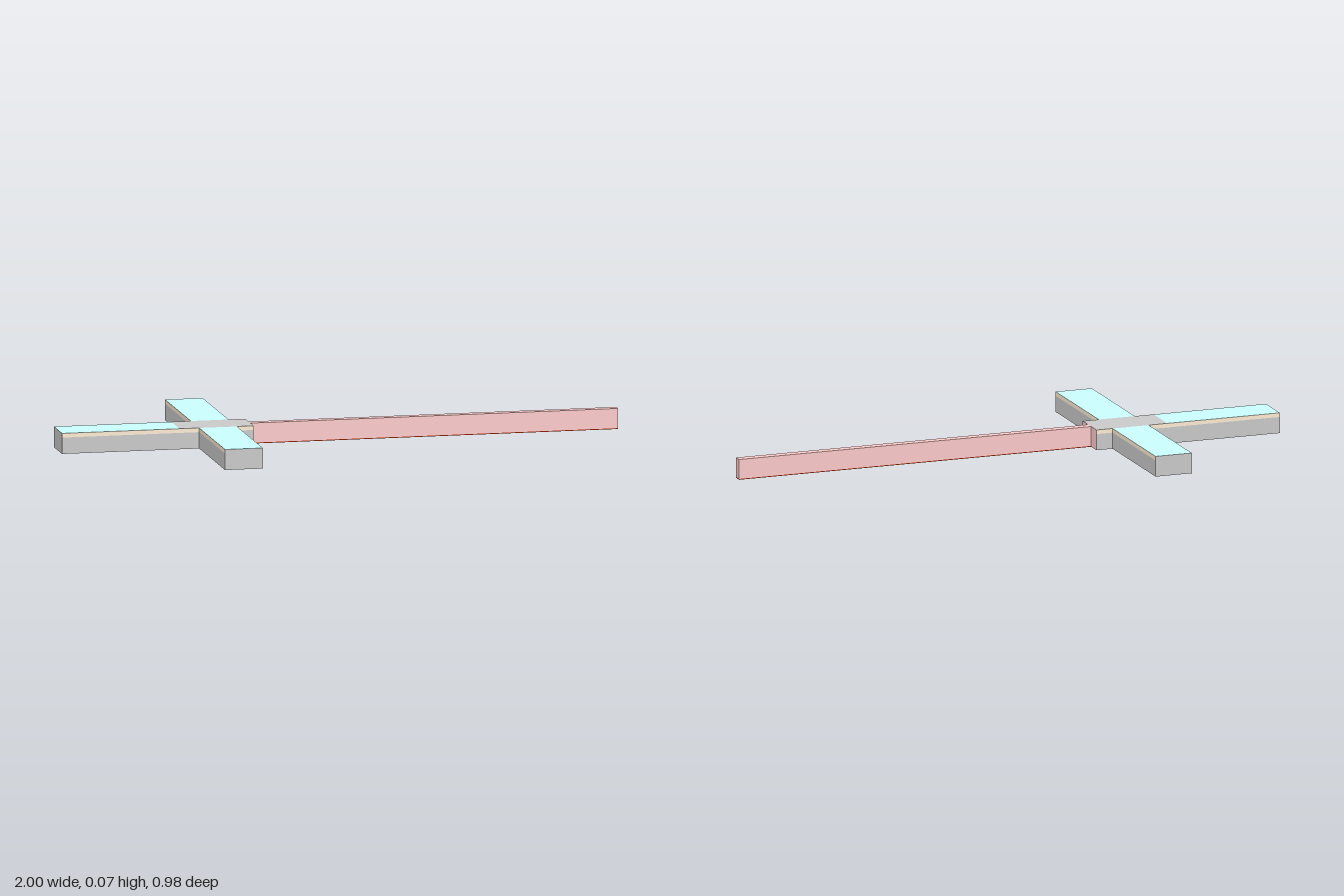
import * as THREE from 'three';

const mat = (color) => new THREE.MeshStandardMaterial({ color });
const grey = mat(0xcccccc), teal = mat(0xccffff), pink = mat(0xffcccc);
const tan = mat(0xffeed5), rust = mat(0xcc3300);

const HEIGHT = 0.073, TRIM = 0.058; // full thickness, start of the trim band
const HALF = 0.068;                 // half width of the grip
const GUARD = [-0.51, -0.375];      // guard extent along x

// Box between two corners; materials ordered +x, -x, +y, -y, +z, -z
function block(name, [x0, x1], [y0, y1], [z0, z1], materials) {
  const geometry = new THREE.BoxGeometry(x1 - x0, y1 - y0, z1 - z0);
  const mesh = new THREE.Mesh(geometry, materials);
  mesh.name = name;
  mesh.position.set((x0 + x1) / 2, (y0 + y1) / 2, (z0 + z1) / 2);
  return mesh;
}

// Grey body with a trim band along its long sides and a coloured top
function trimmedBar(name, xs, zs, top, alongX, tip = grey) {
  const bar = new THREE.Group();
  bar.name = name;
  const sides = alongX ? [tip, grey, top, grey, tan, tan] : [tan, tan, top, grey, grey, grey];
  bar.add(block(name + 'Body', xs, [0, TRIM], zs, [tip, grey, grey, grey, grey, grey]));
  bar.add(block(name + 'Trim', xs, [TRIM, HEIGHT], zs, sides));
  return bar;
}

export function createModel() {
  const model = new THREE.Group();
  model.name = 'sword';
  const width = [-HALF, HALF];

  // Grip and the grey hub where it crosses the guard
  model.add(trimmedBar('grip', [-1, -0.58], width, teal, true));
  model.add(trimmedBar('hubBack', [-0.58, GUARD[0]], width, grey, true));
  model.add(trimmedBar('hubCentre', GUARD, width, grey, true));
  model.add(trimmedBar('hubFront', [GUARD[1], -0.315], width, grey, true, pink));

  // Guard arms
  model.add(trimmedBar('leftGuard', GUARD, [HALF, 0.491], teal, false));
  model.add(trimmedBar('rightGuard', GUARD, [-0.491, -HALF], teal, false));

  // Blade with a dark lower edge
  const blade = [-0.315, 1], thin = [-0.015, 0.015];
  model.add(block('blade', blade, [0.003, HEIGHT], thin, pink));
  model.add(block('bladeEdge', blade, [0, 0.003], thin, rust));
  return model;
}
